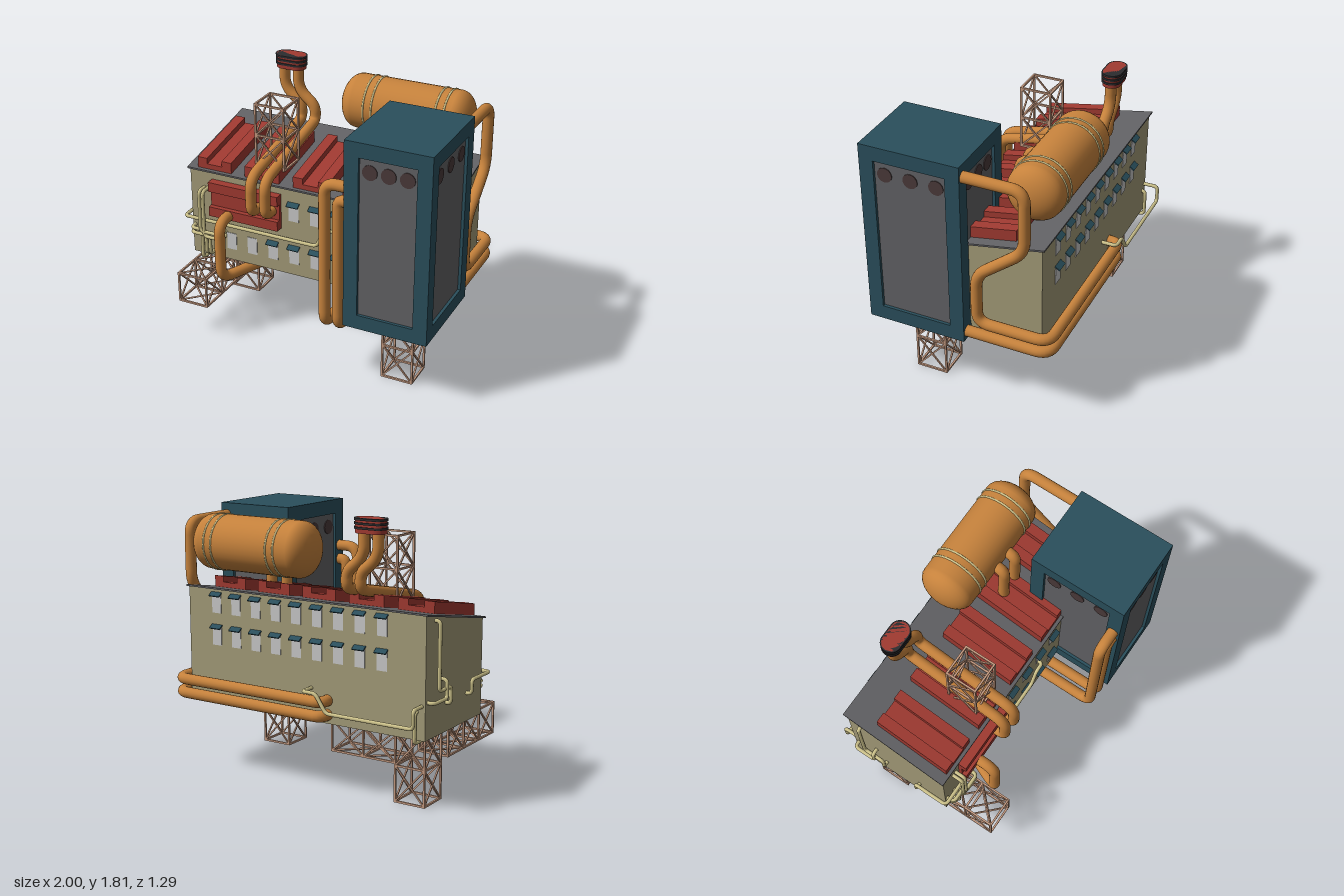
import * as THREE from 'three';
import { mergeGeometries } from 'three/addons/utils/BufferGeometryUtils.js';

const V = (x, y, z) => new THREE.Vector3(x, y, z);
const mat = (name, color) => Object.assign(new THREE.MeshStandardMaterial({ color }), { name });

export function createModel() {
  const root = new THREE.Group();
  root.name = 'elevatedPlant';
  const M = {
    wall: mat('khaki wall', 0xa39b78), grey: mat('slate grey', 0x626265), blue: mat('deep teal', 0x2a4f5c),
    orange: mat('orange pipe', 0xc6823c), red: mat('vent red', 0xa03a31), hole: mat('dark fan', 0x4a3a3a),
    cream: mat('cream pipe', 0xcfc48c), truss: mat('truss pink', 0xc59a80), black: mat('black band', 0x2c2c2f),
    window: mat('pale window', 0xc8c8c8),
  };
  const add = (name, geo, material, parent = root) => {
    const m = new THREE.Mesh(geo, material);
    m.name = name;
    parent.add(m);
    return m;
  };
  const group = (name) => {
    const g = new THREE.Group();
    g.name = name;
    root.add(g);
    return g;
  };
  // box from its lower and upper corners
  const box = (a, b) => new THREE.BoxGeometry(b[0] - a[0], b[1] - a[1], b[2] - a[2])
    .translate((a[0] + b[0]) / 2, (a[1] + b[1]) / 2, (a[2] + b[2]) / 2);
  // prism along x from a [z, y] outline
  const prism = (pts, x0, x1) => new THREE.ExtrudeGeometry(
    new THREE.Shape(pts.map(([z, y]) => new THREE.Vector2(-z, y))), { depth: x1 - x0, bevelEnabled: false })
    .rotateY(Math.PI / 2).translate(x0, 0, 0);
  // pipe through points with rounded corners
  const pipe = (name, pts, r, bend, material) => {
    const p = pts.map((q) => V(...q));
    const path = new THREE.CurvePath();
    path.arcLengthDivisions = 500;
    let from = p[0];
    for (let i = 1; i < p.length - 1; i++) {
      const dIn = p[i].clone().sub(p[i - 1]), dOut = p[i + 1].clone().sub(p[i]);
      const k = Math.min(bend, dIn.length() * 0.48, dOut.length() * 0.48);
      const a = p[i].clone().addScaledVector(dIn.normalize(), -k);
      const b = p[i].clone().addScaledVector(dOut.normalize(), k);
      path.add(new THREE.LineCurve3(from, a));
      path.add(new THREE.QuadraticBezierCurve3(a, p[i], b));
      from = b;
    }
    path.add(new THREE.LineCurve3(from, p[p.length - 1]));
    const n = Math.ceil(path.getLength() / (r * 0.5));
    return add(name, new THREE.TubeGeometry(path, n, r, r > 0.03 ? 16 : 8), material);
  };
  const big = (name, pts) => pipe(name, pts, 0.038, 0.09, M.orange);
  const thin = (name, pts) => pipe(name, pts, 0.013, 0.03, M.cream);

  // ---- building and sloping roof
  const roofY = (z) => 1.135 + (0.222 - z) * 0.187;
  add('buildingBody', prism([[0.21, 0.48], [0.21, roofY(0.21) - 0.008], [-0.53, roofY(-0.53) - 0.008], [-0.53, 0.48]], -0.94, 0.895), M.wall);
  add('roof', prism([[0.222, roofY(0.222) - 0.012], [0.222, roofY(0.222)], [-0.547, roofY(-0.547)], [-0.547, roofY(-0.547) - 0.012]], -0.957, 0.908), M.grey);

  // ---- red roof vents
  const vents = group('roofVents');
  for (let i = 0; i < 5; i++) {
    const x = -0.753 + i * 0.364;
    for (const [a, b, h] of [[-0.13, -0.057, 0.077], [-0.057, 0.057, 0.036], [0.057, 0.13, 0.077]]) {
      add('roofVent', prism([[0.2, roofY(0.2) - 0.005], [0.2, roofY(0.2) + h], [-0.33, roofY(-0.33) + h], [-0.33, roofY(-0.33) - 0.005]], x + a, x + b), M.red, vents);
    }
  }
  // ---- red wall vent
  for (const [y0, y1, z] of [[0.82, 0.89, 0.27], [0.89, 1.005, 0.235], [1.005, 1.075, 0.27]]) {
    add('wallVent', box([-0.77, y0, 0.2], [-0.24, y1, z]), M.red);
  }

  // ---- windows with tilted hoods
  const windows = group('windows');
  const addWindow = (x, y, z, side, hood) => {
    add('window', box([x - 0.037, y, z - 0.004], [x + 0.037, y + 0.125, z + 0.004]), M.window, windows);
    if (!hood) return;
    const h = add('windowHood', new THREE.BoxGeometry(0.086, 0.008, 0.04), M.blue, windows);
    h.position.set(x, y + 0.128, z + side * 0.016);
    h.rotation.x = side * 0.6;
  };
  for (let i = 0; i < 9; i++) {
    const x = -0.63 + i * 0.1615;
    addWindow(x, 0.885, -0.53, -1, true);
    addWindow(x, 1.105, -0.53, -1, true);
    if (i < 7) addWindow(x, 0.565, 0.21, 1, i > 1);
    if (i > 2 && i < 7) addWindow(x, 0.89, 0.21, 1, true);
  }

  // ---- tall cabinet: grey core, teal frame, fans on all four sides
  const cab = group('cabinet');
  const [cx0, cx1, cy0, cy1, cz0, cz1] = [0.425, 1, 0.48, 1.775, -0.037, 0.643];
  add('cabinetPanels', box([cx0 + 0.02, 0.52, cz0 + 0.02], [cx1 - 0.02, 1.74, cz1 - 0.02]), M.grey, cab);
  add('cabinetBase', box([cx0, cy0, cz0], [cx1, cy0 + 0.1, cz1]), M.blue, cab);
  add('cabinetTop', box([cx0, cy1 - 0.1, cz0], [cx1, cy1, cz1]), M.blue, cab);
  for (const x of [cx0, cx1 - 0.097]) for (const z of [cz0, cz1 - 0.097]) {
    add('cabinetPost', box([x, cy0 + 0.1, z], [x + 0.097, cy1 - 0.1, z + 0.097]), M.blue, cab);
  }
  for (const i of [-1, 0, 1]) for (const s of [0, 1]) {
    const fx = new THREE.CylinderGeometry(0.05, 0.05, 0.009, 24).rotateX(Math.PI / 2);
    add('fan', fx.translate(0.7125 + i * 0.123, 1.583, s ? cz1 - 0.019 : cz0 + 0.019), M.hole, cab);
    const fz = new THREE.CylinderGeometry(0.05, 0.05, 0.009, 24).rotateZ(Math.PI / 2);
    add('fan', fz.translate(s ? cx1 - 0.019 : cx0 + 0.019, 1.583, 0.303 + i * 0.175), M.hole, cab);
  }

  // ---- storage tank with bands
  const profile = [];
  for (let i = 0; i <= 8; i++) {
    const a = (i / 8) * Math.PI / 2;
    profile.push(new THREE.Vector2(0.187 * Math.sin(a), -0.35 - 0.115 * Math.cos(a)));
  }
  for (let i = 8; i >= 0; i--) profile.push(new THREE.Vector2(profile[i].x, -profile[i].y));
  add('tank', new THREE.LatheGeometry(profile, 32).rotateZ(-Math.PI / 2).translate(0.4, 1.57, -0.42), M.orange);
  for (const x of [0.144, 0.203, 0.647, 0.706]) {
    add('tankBand', new THREE.TorusGeometry(0.186, 0.007, 8, 36).rotateY(Math.PI / 2).translate(x, 1.57, -0.42), M.cream);
  }
  for (const x of [0.335, 0.46]) {
    big('tankPipe', [[x, 1.57, -0.3], [x, 1.57, -0.183], [x, 1.2, -0.183]]);
  }

  // ---- chimney cap with black bands
  const stadium = (r, y0, y1) => {
    const s = new THREE.Shape();
    s.absarc(0.046, 0, r, -Math.PI / 2, Math.PI / 2);
    s.absarc(-0.046, 0, r, Math.PI / 2, Math.PI * 1.5);
    return new THREE.ExtrudeGeometry(s, { depth: y1 - y0, bevelEnabled: false, curveSegments: 12 })
      .rotateX(-Math.PI / 2).translate(-0.482, y0, -0.427);
  };
  add('chimneyCap', stadium(0.06, 1.718, 1.813), M.red);
  for (const y of [1.745, 1.773, 1.799]) add('chimneyBand', stadium(0.068, y, y + 0.014), M.black);

  // ---- large orange pipes
  for (const x of [-0.405, -0.3]) {
    const t = x - 0.13;
    big('chimneyPipe', [[t, 1.73, -0.425], [t, 1.57, -0.425], [x, 1.46, -0.425], [x, 1.355, -0.425],
      [x, 1.2, 0.325], [x, 0.95, 0.325], [x, 0.95, 0.2]]);
  }
  big('frontLoopPipe', [[-0.62, 0.85, 0.18], [-0.62, 0.85, 0.39], [-0.62, 0.425, 0.39], [-0.46, 0.425, 0], [-0.06, 0.425, 0], [-0.06, 0.5, 0]]);
  for (const [x, y] of [[0.272, 1.44], [0.367, 1.34]]) {
    const z = 0.595;
    big('cabinetSidePipe', [[0.45, y, z], [x, y, z], [x, 0.425, z], [x, 0.425, 0.115], [x, 0.5, 0.115]]);
  }
  const wrap = [[0.953, -0.603], [-0.225, -0.603], [-0.225, -0.5]];
  big('upperRearPipe', [[0.953, 1.69, -0.02], [0.953, 1.69, -0.437], [0.953, 1.26, -0.437], [0.953, 1.0, -0.11],
    [0.953, 0.635, -0.11], ...wrap.map(([x, z]) => [x, 0.635, z])]);
  big('lowerRearPipe', [[0.953, 0.54, -0.02], ...wrap.map(([x, z]) => [x, 0.54, z])]);

  // ---- thin cream pipes
  thin('frontServicePipe', [[-0.92, 0.67, 0], [-0.98, 0.67, 0], [-0.98, 0.765, 0], [-0.98, 0.765, 0.245],
    [0.04, 0.765, 0.245], [0.1, 0.9, 0.245], [0.165, 0.9, 0.245], [0.165, 0.9, 0.2]]);
  thin('rearServicePipe', [[-0.1, 0.7, -0.5], [-0.1, 0.7, -0.635], [-0.2, 0.7, -0.635], [-0.28, 0.58, -0.635],
    [-0.915, 0.58, -0.635], [-0.915, 0.7, -0.635], [-0.915, 0.7, -0.5]]);
  thin('rearDrainPipe', [[-0.88, 0.5, -0.46], [-0.88, 0.465, -0.46], [-0.88, 0.465, -0.555], [-0.88, 0.66, -0.555], [-0.88, 0.66, -0.5]]);
  thin('endWallPipe', [[-0.92, 1.22, -0.42], [-0.975, 1.22, -0.42], [-0.975, 0.78, -0.42], [-0.975, 0.78, -0.27], [-0.975, 0.67, -0.27], [-0.92, 0.67, -0.27]]);
  thin('endWallBranch', [[-0.92, 0.72, -0.5], [-0.985, 0.72, -0.5], [-0.985, 0.72, -0.34], [-0.985, 0.84, -0.34], [-0.92, 0.84, -0.34]]);
  for (const [i, x] of [-0.835, -0.807].entries()) {
    const y = 0.695 - i * 0.035, e = -0.775 + i * 0.03;
    thin('frontVerticalPipe', [[x, 1, 0.19], [x, 1, 0.285], [x, y, 0.285], [-0.68, y, 0.285], [-0.68, y, 0.19]]);
    thin('frontLowerPipe', [[-0.92, y, 0.19], [-0.92, y, 0.265], [e - 0.03, y, 0.265], [e - 0.03, 0.52, 0.265], [e - 0.03, 0.52, 0.19]]);
  }
  thin('frontDrainPipe', [[-0.845, 0.66, 0.19], [-0.845, 0.66, 0.25], [-0.845, 0.465, 0.25], [-0.845, 0.465, 0.15], [-0.845, 0.5, 0.15]]);

  // ---- lattice trusses: n cells along an axis, crossed bars on the long sides
  const truss = (name, lo, hi, axis, n) => {
    const bars = [];
    const bar = (a, b, t) => {
      const d = b.clone().sub(a);
      const q = new THREE.Quaternion().setFromUnitVectors(V(0, 1, 0), d.clone().normalize());
      const mid = a.clone().add(b).multiplyScalar(0.5);
      bars.push(new THREE.BoxGeometry(t, d.length() + t * 0.8, t).applyQuaternion(q).translate(mid.x, mid.y, mid.z));
    };
    const [u, v] = [0, 1, 2].filter((k) => k !== axis);
    const pt = (i, c) => {
      const p = [0, 0, 0];
      p[axis] = lo[axis] + (hi[axis] - lo[axis]) * i / n;
      p[u] = (c === 1 || c === 2 ? hi : lo)[u];
      p[v] = (c >= 2 ? hi : lo)[v];
      return V(...p);
    };
    for (let c = 0; c < 4; c++) {
      const d = (c + 1) % 4;
      bar(pt(0, c), pt(n, c), 0.013);
      for (let i = 0; i <= n; i++) {
        bar(pt(i, c), pt(i, d), 0.013);
        if (i === n) continue;
        bar(pt(i, c), pt(i + 1, d), 0.01);
        bar(pt(i, d), pt(i + 1, c), 0.01);
      }
    }
    add(name, mergeGeometries(bars), M.truss);
  };
  truss('buildingLeg', [-0.873, 0.006, -0.41], [-0.66, 0.485, -0.2], 1, 2);
  truss('cabinetLeg', [0.605, 0.006, 0.2], [0.818, 0.485, 0.41], 1, 2);
  truss('lengthwiseBeam', [-0.66, 0.263, -0.41], [-0.18, 0.475, -0.2], 0, 2);
  truss('crosswiseBeam', [-0.873, 0.263, -0.108], [-0.66, 0.475, 0.53], 2, 3);
  truss('roofMast', [-0.46, 1.215, -0.07], [-0.25, 1.655, 0.14], 1, 2);

  return root;
}
